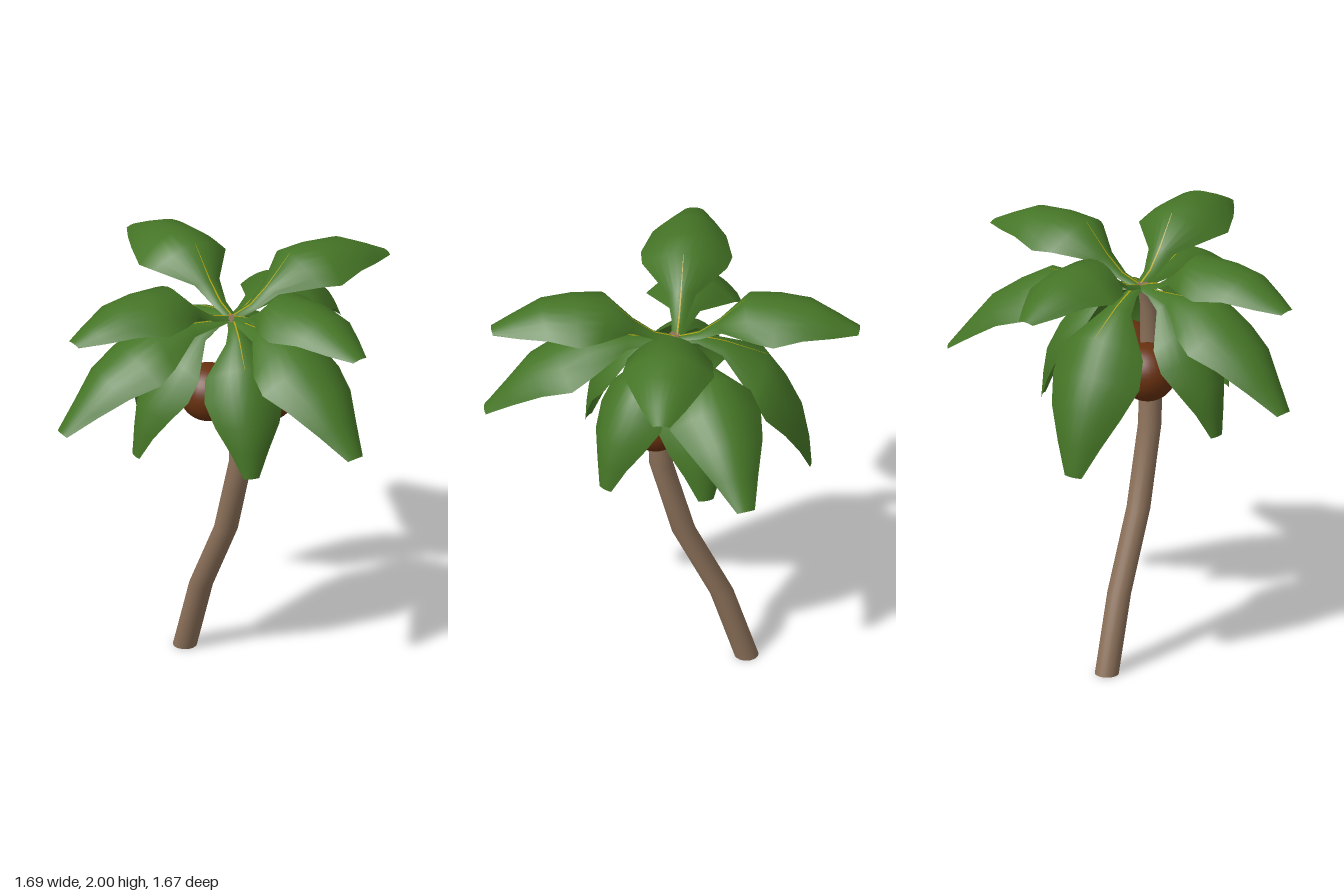
import * as THREE from 'three';

const mat = (name, color, side = THREE.FrontSide) => {
  const m = new THREE.MeshStandardMaterial({ color, side });
  m.name = name;
  return m;
};

// Crown point where all fronds meet
const CROWN = new THREE.Vector3(0.01, 0, -0.03);

// Frond ridges as [distance from crown, height], base to tip
const RIDGES = {
  upper: [[0, 1.77], [0.1, 1.8], [0.19, 1.87], [0.31, 1.995], [0.46, 2.0], [0.61, 1.985], [0.74, 1.92], [0.83, 1.87]],
  middle: [[0, 1.77], [0.1, 1.77], [0.22, 1.785], [0.41, 1.81], [0.54, 1.74], [0.67, 1.65], [0.77, 1.52], [0.86, 1.4]],
  lower: [[0, 1.77], [0.08, 1.76], [0.17, 1.735], [0.31, 1.65], [0.39, 1.54], [0.45, 1.42], [0.47, 1.3], [0.48, 1.18]],
  rear: [[0, 1.77], [0.1, 1.77], [0.22, 1.74], [0.42, 1.66], [0.52, 1.51], [0.59, 1.36], [0.62, 1.2], [0.63, 1.06]],
};
const WIDTHS = [0.025, 0.035, 0.065, 0.19, 0.205, 0.165, 0.1, 0.04];
const DROOPS = [0.01, 0.015, 0.03, 0.11, 0.115, 0.085, 0.045, 0.008];

// Arched strip along a ridge, pointing along +x
function stripGeometry(ridge, widths, droops, cols, lift = 0) {
  const pos = [], index = [];
  ridge.forEach(([r, y], i) => {
    const a = ridge[Math.max(i - 1, 0)], b = ridge[Math.min(i + 1, ridge.length - 1)];
    const n = new THREE.Vector2(a[1] - b[1], b[0] - a[0]).normalize();
    for (let j = 0; j <= cols; j++) {
      const s = (j / cols) * 2 - 1;
      const h = lift - droops[i] * s * s;
      pos.push(r + n.x * h, y + n.y * h, widths[i] * s);
      if (i && j) {
        const p = i * (cols + 1) + j, q = p - cols - 1;
        index.push(q - 1, q, p, q - 1, p, p - 1);
      }
    }
  });
  const g = new THREE.BufferGeometry();
  g.setAttribute('position', new THREE.Float32BufferAttribute(pos, 3));
  g.setIndex(index);
  g.computeVertexNormals();
  return g;
}

export function createModel() {
  const tree = new THREE.Group();
  tree.name = 'palmTree';
  const leaf = mat('leaf green', 0x457526, THREE.DoubleSide);
  const rib = mat('rib yellow', 0xb0a010, THREE.DoubleSide);
  const bark = mat('bark brown', 0x8b7059);
  const shell = mat('coconut brown', 0x67300f);

  const add = (parent, name, geometry, material) => {
    const m = new THREE.Mesh(geometry, material);
    m.name = name;
    parent.add(m);
    return m;
  };

  // Bent trunk: each ring of a cylinder shifted to [height, z, radius]
  const rings = [[0, -0.34, 0.054], [0.35, -0.23, 0.054], [0.7, -0.06, 0.054], [1.07, 0.04, 0.053],
    [1.42, 0.055, 0.05], [1.64, 0.035, 0.04], [1.775, -0.02, 0.025]];
  const rows = rings.length - 1;
  const trunk = new THREE.CylinderGeometry(1, 1, 1, 20, rows);
  const p = trunk.attributes.position;
  for (let i = 0; i < p.count; i++) {
    const [y, z, r] = rings[Math.round((p.getY(i) + 0.5) * rows)];
    p.setXYZ(i, p.getX(i) * r, y, p.getZ(i) * r + z);
  }
  trunk.computeVertexNormals();
  add(tree, 'trunk', trunk, bark);

  // Coconuts
  for (const [x, y, z] of [[0.13, 1.39, 0.07], [-0.07, 1.39, -0.1]]) {
    add(tree, 'coconut', new THREE.SphereGeometry(0.132, 28, 20), shell).position.set(x, y, z);
  }

  // Fronds: [ridge, tip x, tip z, width scale]
  const fronds = [
    ['upper', 0.82, 0.08, 1], ['upper', -0.82, -0.15, 1], ['upper', 0.05, 0.8, 1], ['upper', 0.13, -0.84, 1],
    ['middle', 0.84, -0.3, 1.05], ['middle', -0.84, -0.21, 1.05], ['middle', 0, 0.83, 1.08],
    ['rear', 0.01, -0.63, 1.08],
    ['lower', -0.21, 0.36, 0.88], ['lower', 0.34, 0.31, 0.88],
    ['lower', 0.45, -0.14, 0.88], ['lower', -0.46, -0.15, 0.88],
  ];
  for (const [kind, x, z, w] of fronds) {
    const dx = x - CROWN.x, dz = z - CROWN.z;
    const base = RIDGES[kind], k = Math.hypot(dx, dz) / base[base.length - 1][0];
    const ridge = base.map(([r, y]) => [r * k, y]);
    const frond = new THREE.Group();
    frond.name = kind + 'Frond';
    frond.position.copy(CROWN);
    frond.rotation.y = -Math.atan2(dz, dx);
    add(frond, 'blade', stripGeometry(ridge, WIDTHS.map((v) => v * w), DROOPS.map((v) => v * w), 10), leaf);
    // Thin midrib near the stalk
    const stalk = ridge.slice(0, 4);
    add(frond, 'midrib', stripGeometry(stalk, [0.004, 0.004, 0.003, 0.001], [0, 0, 0, 0], 1, 0.002), rib);
    tree.add(frond);
  }
  return tree;
}
